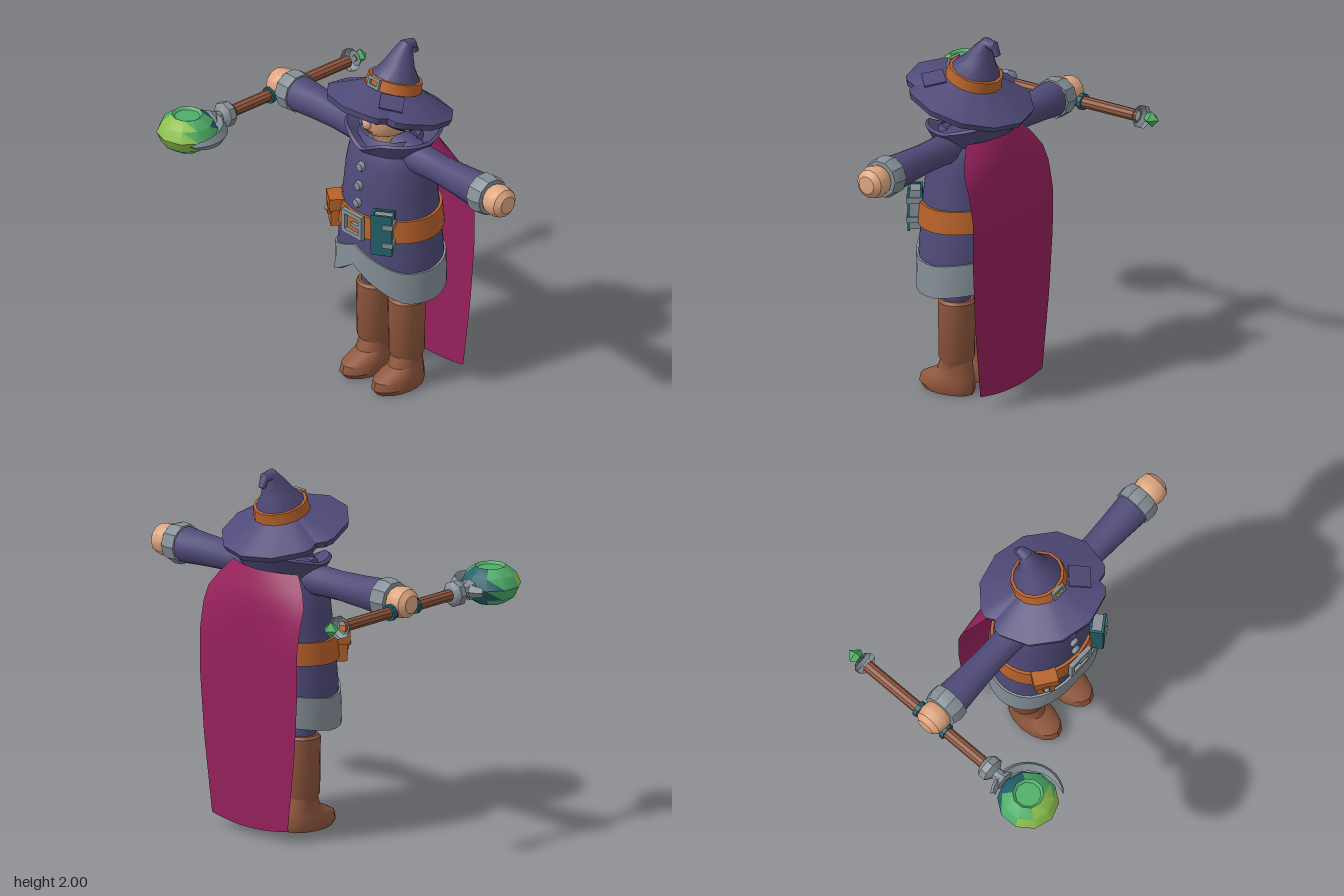
import * as THREE from 'three';
import { toCreasedNormals } from 'three/addons/utils/BufferGeometryUtils.js';

const paint = (name, hex, side = THREE.FrontSide) => {
  const m = new THREE.MeshStandardMaterial({ color: hex, side });
  m.name = name;
  return m;
};
const CX = 0.045, CZ = -0.125; // body axis

// Surface through rows (bottom to top) and columns (counter-clockwise from above)
function loft(rows, cols, closed, fn, crease = 0.6) {
  const pos = [], idx = [];
  const n = closed ? cols : cols + 1;
  for (let i = 0; i <= rows; i++) for (let j = 0; j < n; j++) pos.push(...fn(i, j));
  for (let i = 0; i < rows; i++) for (let j = 0; j < cols; j++) {
    const k = (j + 1) % n, a = i * n + j, b = i * n + k, c = b + n, d = a + n;
    idx.push(a, b, c, a, c, d);
  }
  const g = new THREE.BufferGeometry();
  g.setAttribute('position', new THREE.Float32BufferAttribute(pos, 3));
  g.setIndex(idx);
  return toCreasedNormals(g, crease);
}
// Stack of ellipses: [y, rx, rz, centre z]
const stack = (rows, n = 16) => loft(rows.length - 1, n, true, (i, j) => {
  const [y, rx, rz, cz = 0] = rows[i], a = j / n * Math.PI * 2;
  return [Math.sin(a) * rx, y, cz + Math.cos(a) * rz];
});
const lathe = (pts, n = 12) =>
  toCreasedNormals(new THREE.LatheGeometry(pts.map(p => new THREE.Vector2(...p)), n), 0.6);
// Linear lookup in a table whose first column is the key
function lookup(table, t) {
  let k = 0;
  while (k < table.length - 2 && t > table[k + 1][0]) k++;
  const f = THREE.MathUtils.clamp((t - table[k][0]) / (table[k + 1][0] - table[k][0]), 0, 1);
  return table[k].map((v, c) => v + (table[k + 1][c] - v) * f);
}
// Rectangular buckle frame
function frame(w, h, t, depth) {
  const rect = (P, a, b) => new P().moveTo(-a, -b).lineTo(a, -b).lineTo(a, b).lineTo(-a, b).closePath();
  const s = rect(THREE.Shape, w / 2, h / 2);
  s.holes.push(rect(THREE.Path, w / 2 - t, h / 2 - t));
  return new THREE.ExtrudeGeometry(s, { depth, bevelEnabled: false });
}

export function createModel() {
  const purple = paint('purple cloth', 0x4f4a78, THREE.DoubleSide);
  const grey = paint('grey metal', 0x848f96);
  const skin = paint('skin', 0xdfa680);
  const magenta = paint('magenta cape', 0x96205c, THREE.DoubleSide);
  const orange = paint('orange leather', 0xb8622a);
  const brown = paint('brown leather', 0x8f563d);
  const black = paint('black hair', 0x26222a);
  const teal = paint('teal', 0x23606a);
  const green = paint('green glass', 0x4fae68);
  const lime = paint('lime glass', 0x8cc04c);

  const model = new THREE.Group();
  const add = (name, geo, mat, x = 0, y = 0, z = 0, parent = model) => {
    const m = new THREE.Mesh(geo, mat);
    m.name = name;
    m.position.set(x, y, z);
    parent.add(m);
    return m;
  };
  const box = (name, mat, w, h, d, x, y, z, parent) => add(name, new THREE.BoxGeometry(w, h, d), mat, x, y, z, parent);
  const group = (name, x, y, z) => {
    const g = new THREE.Group();
    g.name = name;
    g.position.set(x, y, z);
    model.add(g);
    return g;
  };

  // Robe: elliptical profile [y, rx, rz] with a chevron hem
  const profile = [[0.55, 0.325, 0.26], [0.8, 0.315, 0.26], [1.0, 0.295, 0.25], [1.3, 0.265, 0.22], [1.42, 0.24, 0.195], [1.5, 0.17, 0.15]];
  const N = 40;
  const ang = j => j / N * Math.PI * 2;
  const onRobe = (a, y, off) => {
    const [, rx, rz] = lookup(profile, y);
    return [Math.sin(a) * (rx + off), y, Math.cos(a) * (rz + off)];
  };
  const peak = a => Math.cos(a) > 0 ? Math.max(0, 1 - Math.abs(Math.sin(a)) / 0.85) : 0;
  const hemLow = a => 0.59 + 0.18 * peak(a) + 0.045 * Math.max(0, -Math.cos(a));
  const hemTop = a => 0.77 + 0.12 * peak(a) + 0.04 * Math.max(0, -Math.cos(a));
  add('robe', loft(14, N, true, (i, j) => {
    const b = hemTop(ang(j)) - 0.02;
    return onRobe(ang(j), b + (1.5 - b) * i / 14, 0);
  }), purple, CX, 0, CZ);
  add('hemTrim', loft(3, N, true, (i, j) => {
    const a = ang(j);
    return onRobe(a, i < 2 ? hemLow(a) : hemTop(a), [-0.025, 0.012, 0.012, -0.01][i]);
  }), grey, CX, 0, CZ);
  add('robeLining', loft(2, N, true, (i, j) =>
    i === 2 ? [0, 0.86, 0] : onRobe(ang(j), i ? 0.84 : hemLow(ang(j)), -0.025)), purple, CX, 0, CZ);
  add('belt', loft(3, N, true, (i, j) => {
    const a = ang(j), y = (i < 2 ? 0.955 : 1.08) + 0.015 * Math.max(0, -Math.cos(a));
    return onRobe(a, y, i % 3 ? 0.016 : -0.01);
  }), orange, CX, 0, CZ);

  // Collar, dipping to a V in front
  add('collar', loft(3, N, true, (i, j) => {
    const a = ang(j), t = Math.min(a, Math.PI * 2 - a);
    const [rx, rz] = [[0.215, 0.18], [0.29, 0.25], [0.275, 0.235], [0.15, 0.14]][i];
    const rim = 1.51 + 0.06 * Math.max(0, -Math.cos(a)) - 0.06 * Math.max(0, 1 - t / 0.5);
    return [Math.sin(a) * rx, [1.41, rim, rim + 0.012, 1.45][i], Math.cos(a) * rz - (i % 3 ? 0.025 : 0)];
  }), purple, CX, 0, CZ);

  // Buttons and buckle
  for (const [y, z] of [[1.345, 0.09], [1.235, 0.105], [1.135, 0.115]])
    add('button', new THREE.CylinderGeometry(0.024, 0.032, 0.03, 6), grey, CX, y, z).rotation.set(Math.PI / 2, Math.PI / 6, 0);
  add('beltBuckle', frame(0.16, 0.14, 0.025, 0.025), grey, CX, 1.015, 0.135);
  box('bucklePin', grey, 0.08, 0.02, 0.02, CX + 0.03, 1.015, 0.148);

  // Belt pouch
  const pouch = group('pouch', -0.165, 1.0, 0.08);
  pouch.rotation.y = -0.6;
  const bag = box('pouchBag', orange, 0.115, 0.13, 0.07, 0, -0.015, 0, pouch);
  const bp = bag.geometry.attributes.position;
  for (let i = 0; i < bp.count; i++) if (bp.getY(i) < 0) bp.setX(i, bp.getX(i) * 0.8);
  box('pouchFlap', orange, 0.135, 0.07, 0.085, 0, 0.055, 0.003, pouch);
  box('pouchStrap', orange, 0.04, 0.06, 0.085, 0, 0.01, 0.006, pouch);
  add('pouchStud', new THREE.SphereGeometry(0.016, 8, 6), grey, 0, 0.01, 0.05, pouch);

  // Hanging book
  const book = group('book', 0.238, 1.025, 0.102);
  book.rotation.y = 0.6;
  for (const s of [-1, 1]) box('bookCover', teal, 0.115, 0.24, 0.014, 0, 0, s * 0.033, book);
  box('bookPages', grey, 0.1, 0.22, 0.055, 0.002, 0, 0, book);
  box('bookSpine', teal, 0.014, 0.24, 0.075, -0.054, 0, 0, book);
  for (const y of [-0.055, 0.055]) {
    box('bookClasp', grey, 0.055, 0.03, 0.012, 0.032, y, 0.042, book);
    box('bookClaspSide', grey, 0.012, 0.03, 0.085, 0.058, y, 0.004, book);
  }

  // Cape rows: [y, half width, z]
  const cape = [[0.07, 0.28, -0.395], [0.5, 0.335, -0.4], [0.85, 0.36, -0.405], [1.1, 0.36, -0.405], [1.24, 0.36, -0.375], [1.34, 0.35, -0.335], [1.47, 0.24, -0.27]];
  add('cape', loft(18, 14, false, (i, j) => {
    const u = j / 7 - 1, y = 0.07 + 1.4 * i / 18, [, w, z] = lookup(cape, y);
    const bow = 0.005 + 0.065 * THREE.MathUtils.smoothstep(y, 1.1, 1.45);
    return [-u * w, y - (i ? 0 : 0.03 * (1 - u * u)), z - bow * (1 - u * u)];
  }), magenta, CX);

  // Mirrored arms and legs
  for (const s of [-1, 1]) {
    const arm = group(s > 0 ? 'leftArm' : 'rightArm', CX, 1.415, CZ);
    arm.rotation.z = -s * Math.PI / 2;
    add('sleeve', lathe([[0.1, 0.08], [0.083, 0.28], [0.08, 0.42], [0.088, 0.58], [0.1, 0.74]], 14), purple, 0, 0, 0, arm);
    add('cuff', lathe([[0.09, 0.725], [0.11, 0.728], [0.114, 0.78], [0.102, 0.82], [0.07, 0.822]], 10), grey, 0, 0, 0, arm);
    add('hand', lathe([[0.06, 0.8], [0.083, 0.83], [0.09, 0.87], [0.08, 0.915], [0.05, 0.942], [0, 0.946]], 12), skin, 0, 0, 0, arm);

    const leg = group(s > 0 ? 'leftLeg' : 'rightLeg', CX + s * 0.127, 0, CZ);
    add('trouser', new THREE.CylinderGeometry(0.09, 0.075, 0.34, 14), purple, 0, 0.68, 0, leg);
    add('bootShaft', lathe([[0.08, 0.12], [0.085, 0.18], [0.098, 0.205], [0.102, 0.52], [0.09, 0.535], [0, 0.535]], 16), brown, 0, 0, 0, leg);
    add('bootFoot', stack([[0, 0, 0, 0.05], [0, 0.09, 0.155, 0.055], [0.03, 0.102, 0.173, 0.062], [0.075, 0.097, 0.165, 0.058],
      [0.1, 0.09, 0.14, 0.035], [0.13, 0.083, 0.105, 0.008], [0.19, 0.083, 0.088, 0]]), brown, 0, 0, 0, leg);
  }

  // Head and face
  const head = group('head', CX, 0, -0.1);
  add('face', stack([[1.4, 0.08, 0.08, -0.03], [1.505, 0.08, 0.1], [1.52, 0.105, 0.125], [1.56, 0.132, 0.145], [1.62, 0.142, 0.15],
    [1.69, 0.14, 0.148], [1.75, 0.12, 0.1, 0.03], [1.75, 0, 0, 0.03]], 24), skin, 0, 0, 0, head);
  const fringe = [[0, 1.715], [0.4, 1.7], [0.8, 1.62], [1.2, 1.58], [1.7, 1.545], [3.15, 1.525]];
  add('hair', loft(3, N, true, (i, j) => {
    const a = ang(j), low = lookup(fringe, Math.min(a, Math.PI * 2 - a))[1], r = i % 3 ? 0.158 : 0.135;
    return [Math.sin(a) * r, i < 2 ? low : 1.7 + 0.035 * Math.cos(a), Math.cos(a) * (r + 0.006)];
  }), black, 0, 0, 0, head);
  for (const s of [-1, 1]) {
    add('ear', new THREE.SphereGeometry(0.04, 10, 8), skin, s * 0.15, 1.595, -0.01, head).scale.set(0.6, 1.15, 0.9);
    const eye = add('eye', new THREE.CylinderGeometry(0.025, 0.025, 0.008, 12), black, s * 0.064, 1.637, 0.136, head);
    eye.rotation.set(Math.PI / 2, 0, -s * 0.45);
    eye.scale.z = 1.15;
    box('eyebrow', black, 0.08, 0.02, 0.02, s * 0.068, 1.68, 0.132, head).rotation.set(0, s * 0.45, s * 0.12);
  }
  add('nose', new THREE.SphereGeometry(0.032, 10, 8), skin, 0, 1.592, 0.145, head).scale.set(0.95, 1.1, 0.8);
  box('mouth', brown, 0.06, 0.008, 0.008, 0, 1.545, 0.139, head);

  // Tilted hat with notched brim and folded tip
  const hat = group('hat', CX, 1.665, -0.12);
  hat.rotation.x = -0.28;
  const brim = [[0.12, 0.05], [0.343, -0.035], [0.355, 0], [0.13, 0.097]];
  add('hatBrim', loft(3, 48, true, (i, j) => {
    const a = j / 48 * Math.PI * 2, side = Math.PI / 6, rim = i === 1 || i === 2;
    const off = ((a + side / 2) % side) - side / 2;
    const r = brim[i][0] * (rim ? Math.cos(side / 2) / Math.cos(Math.abs(off) - side / 2) : 1) * (rim && (j === 6 || j === 34) ? 0.9 : 1);
    return [Math.sin(a) * r, brim[i][1], Math.cos(a) * r];
  }, 0.5), purple, 0, 0, 0, hat);
  // Cone rings: [y, z, radius, backward tilt]
  const cone = [[0.08, 0, 0.145, 0], [0.15, 0, 0.132, 0], [0.21, -0.005, 0.09, 0], [0.27, -0.014, 0.064, 0.1], [0.33, -0.03, 0.038, 0.6],
    [0.333, -0.075, 0.028, 1.5], [0.29, -0.105, 0.02, 2.5], [0.285, -0.107, 0, 2.5]];
  add('hatCone', loft(cone.length - 1, 14, true, (i, j) => {
    const [y, z, r, t] = cone[i], a = j / 14 * Math.PI * 2;
    return [Math.sin(a) * r, y + Math.cos(a) * r * Math.sin(t), z + Math.cos(a) * r * Math.cos(t)];
  }), purple, 0, 0, 0, hat);
  add('hatBand', lathe([[0.12, 0.085], [0.156, 0.088], [0.148, 0.148], [0.11, 0.15]], 14), orange, 0, 0, 0, hat);
  add('hatBuckle', frame(0.088, 0.06, 0.016, 0.015), grey, 0, 0.12, 0.146, hat);
  const patch = box('hatPatch', purple, 0.13, 0.009, 0.12, 0.155, 0.062, 0.15, hat);
  patch.rotation.set(0.4, 0.8, 0, 'YXZ');

  // Staff running front to back through the right hand
  const staff = group('staff', -0.83, 1.378, 0);
  const along = (name, mat, pts, n = 8) => { add(name, lathe(pts, n), mat, 0, 0, 0, staff).rotation.x = Math.PI / 2; };
  along('staffRod', brown, [[0.033, -0.6], [0.033, 0.27]], 10);
  along('staffBackCap', grey, [[0.03, -0.585], [0.045, -0.585], [0.065, -0.605], [0.065, -0.63], [0.045, -0.65], [0, -0.65]]);
  along('staffGem', green, [[0.02, -0.645], [0.045, -0.685], [0, -0.73]].reverse(), 4);
  along('staffFrontCap', grey, [[0.03, 0.235], [0.05, 0.24], [0.072, 0.262], [0.072, 0.3], [0.035, 0.325], [0.035, 0.345], [0.06, 0.39], [0, 0.4]]);
  for (const z of [-0.225, -0.035])
    along('gripRing', teal, [[0.03, z - 0.012], [0.046, z - 0.012], [0.046, z + 0.012], [0.03, z + 0.012]], 10);

  // Flattened orb, coloured in bands from back to front
  const orb = lathe([[0, -0.1], [0.08, -0.1], [0.14, -0.06], [0.167, 0], [0.14, 0.06], [0.085, 0.102], [0.07, 0.088], [0, 0.088]], 10);
  const p = orb.attributes.position;
  for (let i = 0; i < p.count; i += 3) {
    const z = (p.getZ(i) + p.getZ(i + 1) + p.getZ(i + 2)) / 3;
    orb.addGroup(i, 3, z > 0.075 ? 0 : z < -0.085 ? 2 : 1);
  }
  add('staffOrb', orb, [lime, green, teal], 0, 0, 0.555, staff);
  // Crescent claw around the inner side of the orb
  add('staffCrescent', loft(14, 4, true, (i, j) => {
    const s = i / 14, a = 3.7 - 2.8 * s, w = Math.pow(Math.max(0, Math.sin(Math.PI * (0.12 + 0.88 * s))), 0.6);
    const r = 0.192 + Math.cos(j * Math.PI / 2) * 0.027 * w;
    return [Math.sin(a) * r, Math.sin(j * Math.PI / 2) * 0.046 * w, Math.cos(a) * r];
  }, 0.5), grey, 0, 0, 0.555, staff);

  return model;
}
